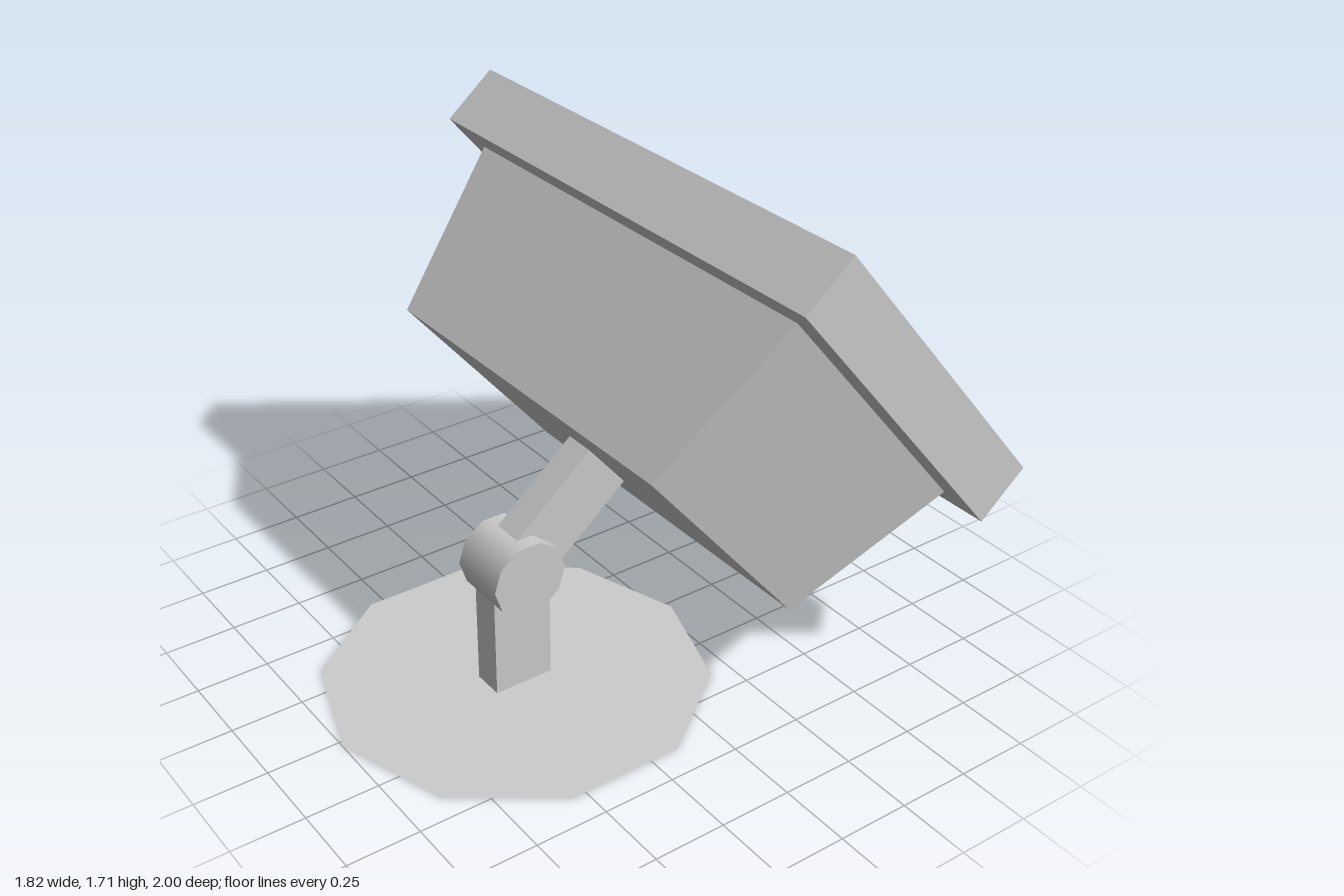
import * as THREE from 'three';

const material = new THREE.MeshStandardMaterial({ color: 0xcccccc });
const openMaterial = new THREE.MeshStandardMaterial({ color: 0xcccccc, side: THREE.DoubleSide });

function addMesh(parent, name, geometry, mat = material) {
  const mesh = new THREE.Mesh(geometry, mat);
  mesh.name = name;
  parent.add(mesh);
  return mesh;
}

// Four-sided block along y, w by d at the bottom, scaled by taper at the top
function block(w, h, d, taper = 1, open = false) {
  const g = new THREE.CylinderGeometry(taper * Math.SQRT1_2, Math.SQRT1_2, h, 4, 1, open)
    .rotateY(Math.PI / 4).scale(w, 1, d).toNonIndexed();
  g.computeVertexNormals();
  return g;
}

export function createModel() {
  const model = new THREE.Group();
  const pivotX = 0.024, pivotY = 0.435, pivotZ = 0.352;
  const barW = 0.11, barD = 0.212, tilt = 40 * Math.PI / 180;

  // Thin ten-sided foot with a slot beneath the hollow post
  const foot = new THREE.Shape();
  for (let i = 0; i < 10; i++) {
    const a = i * Math.PI / 5;
    const x = 0.65 * Math.sin(a), y = 0.65 * Math.cos(a);
    if (i === 0) foot.moveTo(x, y);
    else foot.lineTo(x, y);
  }
  foot.closePath();
  const slot = new THREE.Path();
  slot.moveTo(-barW / 2, -barD / 2);
  slot.lineTo(-barW / 2, barD / 2);
  slot.lineTo(barW / 2, barD / 2);
  slot.lineTo(barW / 2, -barD / 2);
  slot.closePath();
  foot.holes.push(slot);
  addMesh(model, 'foot', new THREE.ShapeGeometry(foot).rotateX(-Math.PI / 2), openMaterial)
    .position.set(pivotX, 0, pivotZ - 0.003);

  // Upright post, open at the bottom
  addMesh(model, 'post', block(barW, pivotY, barD, 1, true), openMaterial)
    .position.set(pivotX, pivotY / 2, pivotZ);

  // Hinge barrel
  addMesh(model, 'hinge', new THREE.CylinderGeometry(0.133, 0.133, 0.212, 10).rotateZ(Math.PI / 2))
    .position.set(pivotX, pivotY, pivotZ);

  // Tilted head: local -z runs from the hinge to the panel
  const head = new THREE.Group();
  head.name = 'head';
  head.position.set(0, pivotY, pivotZ);
  head.rotation.x = tilt;
  model.add(head);

  addMesh(head, 'arm', block(barW, 0.45, barD, 1, true).rotateX(Math.PI / 2), openMaterial)
    .position.set(pivotX, 0, -0.225);
  addMesh(head, 'housing', block(1.61, 0.595, 1.028, 0.84).rotateX(Math.PI / 2))
    .position.set(0, 0, -0.734);
  addMesh(head, 'panel', new THREE.BoxGeometry(1.82, 1.24, 0.217))
    .position.set(0, 0, -1.138);

  return model;
}
